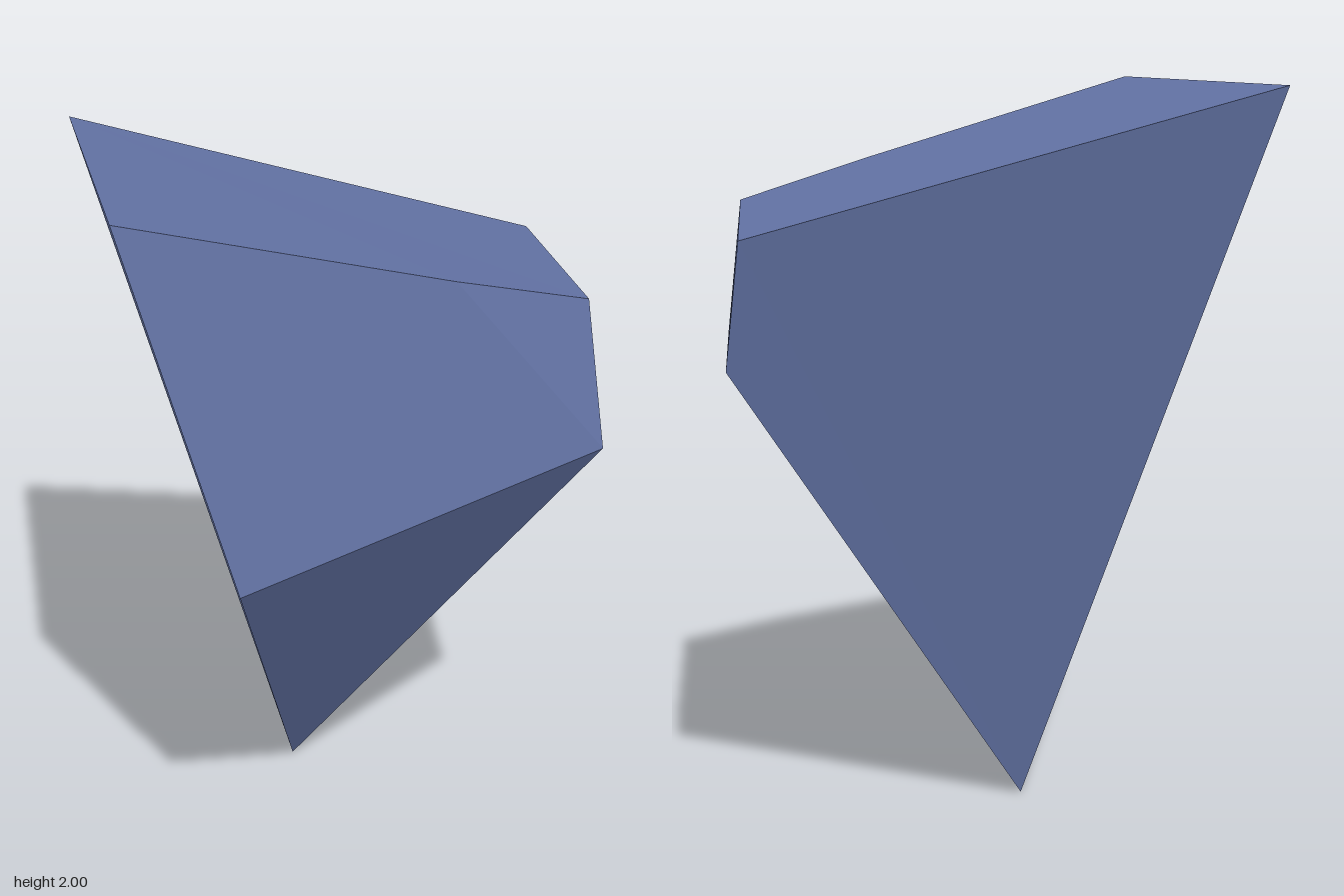
import * as THREE from 'three';

// Corners of the faceted shard
const P = {
  tip: [-0.1, 0, -0.17],
  topLeft: [-0.77, 1.92, -0.46],
  peak: [-0.37, 2, 0.76],
  topMid: [0.38, 1.75, 0.33],
  topRight: [0.71, 1.63, 0.08],
  topBack: [0.54, 1.55, -0.76],
  midFront: [-0.1, 1.065, 0.74],
  midRight: [0.77, 1.25, 0.165],
  midBack: [0.59, 1.23, -0.695],
};

// Flat facets, corners counter-clockwise from outside
const FACETS = [
  ['topLeft', 'peak', 'topMid', 'topRight', 'topBack'], // crown
  ['peak', 'midFront', 'midRight', 'topMid'], // front
  ['topMid', 'midRight', 'topRight'], // front corner
  ['topRight', 'midRight', 'midBack', 'topBack'], // side
  ['tip', 'midRight', 'midFront'], // lower front
  ['tip', 'midBack', 'midRight'], // lower side
  ['tip', 'topLeft', 'topBack', 'midBack'], // back
  ['tip', 'midFront', 'peak', 'topLeft'], // far side
];

export function createModel() {
  const stone = new THREE.MeshStandardMaterial({ color: 0x6272a4 });
  stone.name = 'slate blue stone';

  // Fan each facet into triangles with unshared corners for hard edges
  const positions = [];
  for (const f of FACETS) {
    for (let i = 1; i < f.length - 1; i++) {
      positions.push(...P[f[0]], ...P[f[i]], ...P[f[i + 1]]);
    }
  }
  const geometry = new THREE.BufferGeometry();
  geometry.setAttribute('position', new THREE.Float32BufferAttribute(positions, 3));
  geometry.computeVertexNormals();

  const shard = new THREE.Mesh(geometry, stone);
  shard.name = 'rockShard';
  const group = new THREE.Group();
  group.name = 'rock';
  group.add(shard);
  return group;
}
